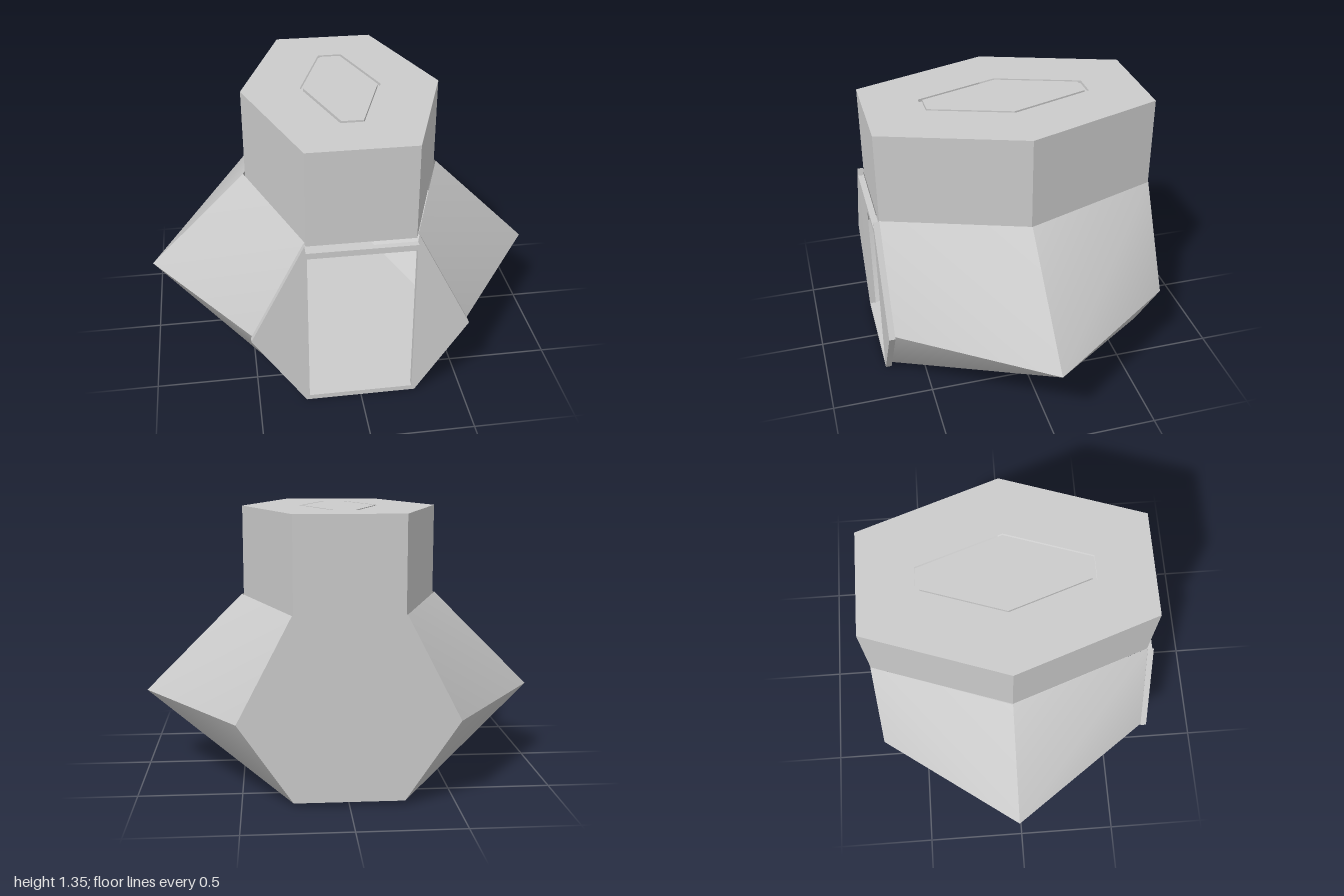
import * as THREE from 'three';
import { mergeGeometries } from 'three/addons/utils/BufferGeometryUtils.js';

const FRONT = 0.67, MID = -0.015, BACK = -0.7;

// Horizontal six-sided ring: e = half width at front and back, m = half width at the middle
const ring = (y, e, m) => [
  [e, y, FRONT], [m, y, MID], [e, y, BACK],
  [-e, y, BACK], [-m, y, MID], [-e, y, FRONT],
];

// One wall panel; corners run counter-clockwise seen from outside, split along a-c
function quad(a, b, c, d) {
  const g = new THREE.BufferGeometry();
  g.setAttribute('position', new THREE.Float32BufferAttribute([...a, ...b, ...c, ...d], 3));
  g.setIndex([0, 1, 2, 0, 2, 3]);
  g.computeVertexNormals();
  return g;
}

// Walls between two rings; the split always ends on the wider side corner
function walls(lo, hi, withFront) {
  const parts = [];
  for (let i = 0; i < (withFront ? 6 : 5); i++) {
    const j = (i + 1) % 6;
    const midStart = i === 1 || i === 4;
    const widensDown = Math.abs(lo[1][0]) > Math.abs(hi[1][0]);
    const splitFromLoStart = midStart === widensDown;
    parts.push(splitFromLoStart
      ? quad(lo[i], lo[j], hi[j], hi[i])
      : quad(lo[j], hi[j], hi[i], lo[i]));
  }
  return mergeGeometries(parts);
}

const outline = (pts, Type = THREE.Shape) => new Type(pts.map(([x, y]) => new THREE.Vector2(x, y)));

// Plan hexagon, drawn in x and -z so that it lies flat after turning
const plan = (e, m, front, back) => [
  [e, -front], [m, -MID], [e, -back], [-e, -back], [-m, -MID], [-e, -front],
];

export function createModel() {
  const group = new THREE.Group();
  const mat = new THREE.MeshStandardMaterial({ color: 0xcccccc, side: THREE.DoubleSide });
  const add = (name, geo) => {
    const mesh = new THREE.Mesh(geo, mat);
    mesh.name = name;
    group.add(mesh);
    return mesh;
  };
  const flat = (name, geo, y) => {
    geo.rotateX(-Math.PI / 2);
    geo.translate(0, y, 0);
    return add(name, geo);
  };

  // Hollow body that swells to pointed sides, open at the front
  const base = ring(0.02, 0.26, 0.5);
  const waist = ring(0.4, 0.52, 1);
  const shoulder = ring(0.9, 0.26, 0.5);
  add('lowerBody', walls(base, waist, false));
  add('upperBody', walls(waist, shoulder, false));
  flat('floor', new THREE.ShapeGeometry(outline(plan(0.26, 0.5, FRONT, BACK))), 0.02);

  // Straight six-sided tower
  add('tower', walls(ring(0.88, 0.255, 0.49), ring(1.35, 0.255, 0.49), true));

  // Roof with a narrow groove around an inset hatch
  const roof = outline(plan(0.255, 0.49, FRONT, BACK));
  roof.holes.push(outline(plan(0.06, 0.2, 0.4, -0.43), THREE.Path));
  flat('roof', new THREE.ShapeGeometry(roof), 1.35);
  flat('grooveFloor', new THREE.ShapeGeometry(outline(plan(0.06, 0.2, 0.4, -0.43))), 1.335);
  flat('hatch', new THREE.ExtrudeGeometry(outline(plan(0.052, 0.185, 0.38, -0.41)),
    { depth: 0.015, bevelEnabled: false }), 1.335);

  // Front frame with a large rectangular opening
  const frame = outline([
    [-0.27, 0], [0.27, 0], [0.525, 0.39], [0.265, 0.9], [0.26, 0.86],
    [-0.26, 0.86], [-0.265, 0.9], [-0.525, 0.39],
  ]);
  frame.holes.push(outline([[-0.255, 0.025], [-0.255, 0.83], [0.255, 0.83], [0.255, 0.025]], THREE.Path));
  const frameGeo = new THREE.ExtrudeGeometry(frame, { depth: 0.03, bevelEnabled: false });
  frameGeo.translate(0, 0, FRONT);
  add('frontFrame', frameGeo);

  return group;
}
